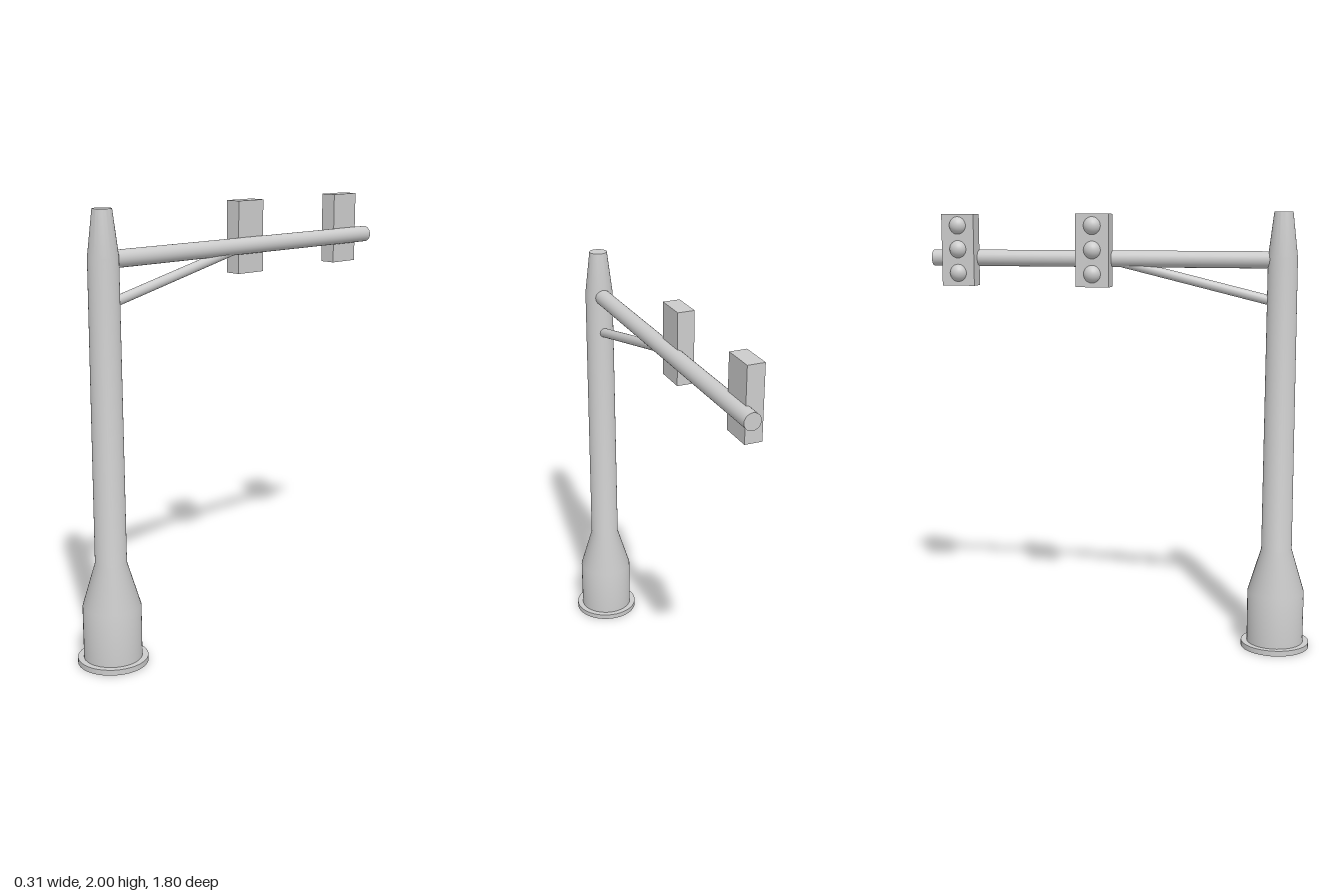
import * as THREE from 'three';
import { toCreasedNormals } from 'three/addons/utils/BufferGeometryUtils.js';

const POLE_Z = 0.745;
const ARM_Y = 1.788;

export function createModel() {
  const model = new THREE.Group();
  model.name = 'trafficSignalMast';
  const grey = new THREE.MeshStandardMaterial({ color: 0xcccccc });
  const shell = new THREE.MeshStandardMaterial({ color: 0xcccccc, side: THREE.DoubleSide });

  const add = (name, geometry, material = grey, parent = model) => {
    const mesh = new THREE.Mesh(geometry, material);
    mesh.name = name;
    parent.add(mesh);
    return mesh;
  };

  const lathe = (profile) => toCreasedNormals(
    new THREE.LatheGeometry(profile.map(([r, y]) => new THREE.Vector2(r, y)), 40), 0.6);

  // round bar between two points
  const bar = (name, from, to, radius) => {
    const a = new THREE.Vector3(...from);
    const b = new THREE.Vector3(...to);
    const dir = b.clone().sub(a);
    const mesh = add(name, new THREE.CylinderGeometry(radius, radius, dir.length(), 28));
    mesh.position.copy(a).add(b).multiplyScalar(0.5);
    mesh.quaternion.setFromUnitVectors(new THREE.Vector3(0, 1, 0), dir.normalize());
  };

  // hollow pole, open underneath, with a wide foot and tapered tip
  add('pole', lathe([
    [0.13, 0], [0.13, 0.265], [0.07, 0.465], [0.066, 1.8], [0.042, 2], [0, 2],
  ]), shell).position.z = POLE_Z;

  // flange around the foot
  add('baseFlange', lathe([
    [0.13, 0], [0.157, 0], [0.157, 0.025], [0.13, 0.025],
  ]), shell).position.z = POLE_Z;

  // horizontal arm and its diagonal brace
  bar('arm', [0, ARM_Y, 0.71], [0, ARM_Y, -0.9], 0.038);
  bar('brace', [0, 1.604, 0.71], [0, 1.779, -0.02], 0.022);

  // two signal heads with three domed lamps each
  for (const [name, z] of [['innerSignal', -0.11], ['outerSignal', -0.753]]) {
    const signal = new THREE.Group();
    signal.name = name;
    signal.position.set(-0.043, 1.826, z);
    model.add(signal);
    add('signalHousing', new THREE.BoxGeometry(0.078, 0.33, 0.156), grey, signal);
    for (const y of [-0.106, 0.003, 0.112]) {
      const lamp = add('lamp', new THREE.SphereGeometry(0.042, 24, 16), grey, signal);
      lamp.position.set(-0.027, y, 0);
    }
  }

  return model;
}
